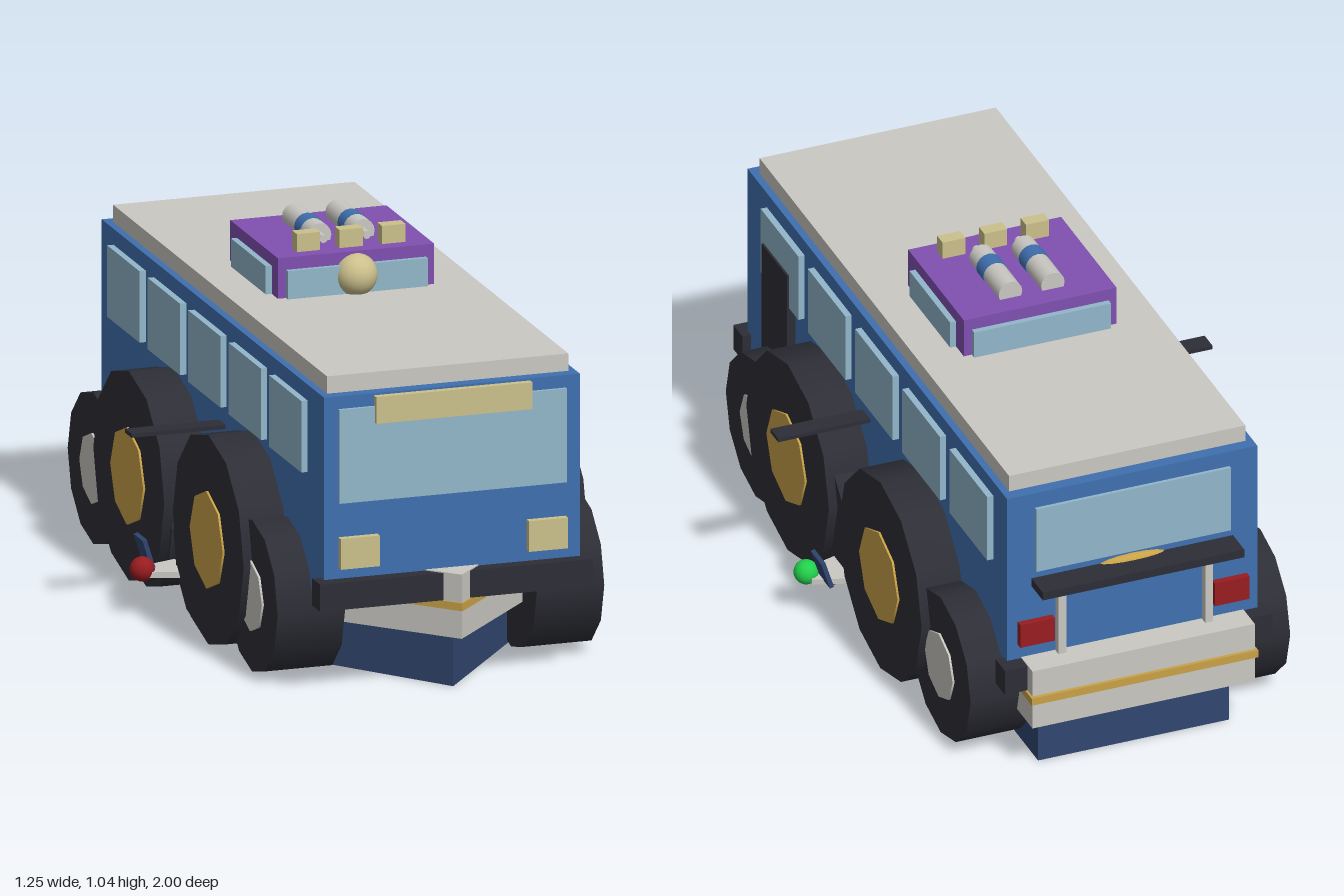
import * as THREE from 'three';

const mat = (name, color) => {
  const m = new THREE.MeshStandardMaterial({ color });
  m.name = name;
  return m;
};

export function createModel() {
  const blue = mat('bodyBlue', 0x3f70b0), grey = mat('paleGrey', 0xcac8c2);
  const dark = mat('rubberDark', 0x2d2e36), purple = mat('purple', 0x8050b0);
  const beige = mat('lampBeige', 0xcbc08c), glass = mat('glass', 0x92b6ca);
  const gold = mat('gold', 0xc9a248), red = mat('red', 0x981c20);
  const green = mat('green', 0x22d04c), navy = mat('hullNavy', 0x30466f);

  const model = new THREE.Group();
  model.name = 'amphibiousBus';

  const add = (name, geo, material, x = 0, y = 0, z = 0) => {
    const mesh = new THREE.Mesh(geo, material);
    mesh.name = name;
    mesh.position.set(x, y, z);
    model.add(mesh);
    return mesh;
  };
  // Box given by its limits on each axis
  const box = (name, material, x0, x1, y0, y1, z0, z1) => add(name,
    new THREE.BoxGeometry(x1 - x0, y1 - y0, z1 - z0), material,
    (x0 + x1) / 2, (y0 + y1) / 2, (z0 + z1) / 2);
  // Flat plan outline of [x, z] points raised from y0 to y1
  const slab = (name, material, plan, y0, y1) => {
    const shape = new THREE.Shape(plan.map(([x, z]) => new THREE.Vector2(x, -z)));
    const geo = new THREE.ExtrudeGeometry(shape, { depth: y1 - y0, bevelEnabled: false });
    geo.rotateX(-Math.PI / 2);
    return add(name, geo, material, 0, y0, 0);
  };
  const boatPlan = (w, back, shoulder, tip) =>
    [[-w, back], [-w, shoulder], [0, tip], [w, shoulder], [w, back]];

  // Boat hull with pointed bow, pale belt and gold trim
  slab('hull', navy, boatPlan(0.275, -0.92, 0.57, 0.92), 0, 0.16);
  slab('hullBelt', grey, boatPlan(0.32, -0.99, 0.65, 0.99), 0.15, 0.328);
  slab('beltTrim', gold, boatPlan(0.326, -1, 0.652, 0.996), 0.228, 0.25);

  // Body, roof and bumpers
  box('body', blue, -0.36, 0.36, 0.27, 0.83, -0.91, 0.91);
  box('roof', grey, -0.34, 0.34, 0.83, 0.878, -0.875, 0.875);
  box('frontBumper', dark, -0.385, 0.385, 0.25, 0.325, 0.885, 0.95);
  box('rearBumper', dark, -0.385, 0.385, 0.25, 0.325, -0.955, -0.89);

  // Front face
  box('windscreen', glass, -0.32, 0.32, 0.535, 0.795, 0.905, 0.92);
  box('destinationSign', beige, -0.22, 0.22, 0.75, 0.824, 0.905, 0.93);

  // Rear face
  box('rearWindow', glass, -0.28, 0.28, 0.59, 0.785, -0.92, -0.905);
  box('rearShelf', dark, -0.29, 0.29, 0.543, 0.567, -0.99, -0.905);
  const badge = add('rearLamp', new THREE.SphereGeometry(0.1, 16, 8), gold, 0, 0.56, -0.91);
  badge.scale.set(1, 0.2, 0.2);

  // Door on one side only
  box('door', dark, 0.355, 0.384, 0.35, 0.69, 0.575, 0.755);

  const wheel = (name, s, z, r, x0, x1, hubR, hubMat) => {
    const tyre = new THREE.CylinderGeometry(r, r, x1 - x0, 12);
    tyre.rotateZ(Math.PI / 2);
    add(name + 'Tyre', tyre, dark, s * (x0 + x1) / 2, r, z);
    const hub = new THREE.CylinderGeometry(hubR, hubR, 0.02, 8);
    hub.rotateZ(Math.PI / 2);
    add(name + 'Hub', hub, hubMat, s * (x1 - 0.004), r, z);
  };

  for (const s of [1, -1]) {
    const side = (name, m, x0, x1, ...rest) =>
      box(name, m, Math.min(s * x0, s * x1), Math.max(s * x0, s * x1), ...rest);

    // Side windows
    for (let i = 0; i < 5; i++) {
      const z = 0.643 - i * 0.331;
      side('sideWindow', glass, 0.355, 0.378, 0.588, 0.786, z - 0.132, z + 0.132);
    }
    // Lights
    side('headlight', beige, 0.21, 0.32, 0.355, 0.44, 0.905, 0.93);
    side('tailLight', red, 0.23, 0.33, 0.37, 0.44, -0.93, -0.905);
    side('shelfPost', grey, 0.2, 0.222, 0.31, 0.545, -0.935, -0.913);
    // Side arm
    side('sideArm', dark, 0.35, 0.625, 0.525, 0.536, 0.05, 0.105);

    // Two large wheels and four small ones per side
    for (const z of [0.325, -0.325]) wheel('largeWheel', s, z, 0.29, 0.29, 0.485, 0.135, gold);
    for (let i = 0; i < 4; i++) wheel('smallWheel', s, 0.61 - i * 0.4325, 0.21, 0.27, 0.46, 0.098, grey);

    // Stub wing, winglet and navigation light
    const wing = [[0.26, -0.13], [0.26, 0.12], [0.56, 0.03], [0.56, -0.03]];
    slab('stubWing', grey, wing.map(([x, z]) => [s * x, z]), 0.11, 0.126);
    const fin = add('winglet', new THREE.BoxGeometry(0.012, 0.085, 0.075), navy, s * 0.537, 0.163, -0.045);
    fin.rotation.z = -s * 0.3;
    add('navigationLight', new THREE.SphereGeometry(0.034, 16, 12), s > 0 ? green : red, s * 0.562, 0.13, 0.008);

    // Air tanks on the cabin roof
    const tank = (name, m, r, z0, z1) => {
      const geo = new THREE.CylinderGeometry(r, r, z1 - z0, 16);
      geo.rotateX(Math.PI / 2);
      add(name, geo, m, s * 0.061, 1.005, (z0 + z1) / 2);
    };
    tank('airTank', grey, 0.034, -0.205, 0.002);
    tank('tankBand', blue, 0.036, -0.1, -0.052);
    tank('tankNozzle', grey, 0.011, 0, 0.038);

    side('cabinSideWindow', glass, 0.21, 0.237, 0.878, 0.956, -0.21, 0.075);
  }

  // Roof cabin
  box('roofCabin', purple, -0.22, 0.22, 0.87, 0.99, -0.265, 0.125);
  box('cabinFrontWindow', glass, -0.197, 0.197, 0.878, 0.956, 0.12, 0.14);
  box('cabinRearWindow', glass, -0.197, 0.197, 0.878, 0.956, -0.282, -0.26);
  add('searchlight', new THREE.SphereGeometry(0.059, 20, 14), beige, 0, 0.925, 0.122);
  for (const x of [-0.12, 0, 0.12])
    box('roofLamp', beige, x - 0.033, x + 0.033, 0.985, 1.04, 0.047, 0.085).name = 'roofLamp';

  return model;
}
